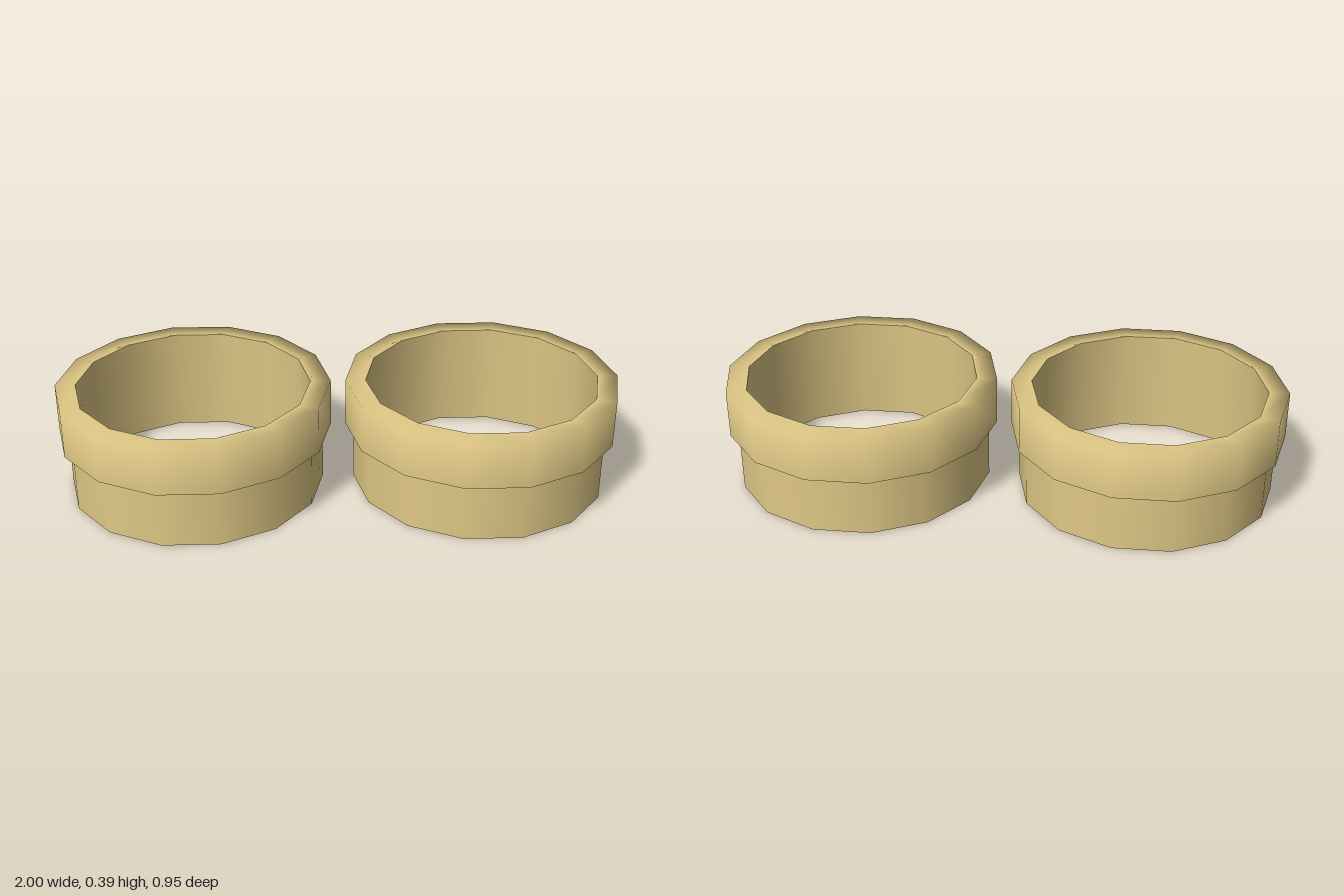
import * as THREE from 'three';

const SIDES = 14;
const OUTER = 0.487;   // rim radius
const WALL = 0.457;    // lower sleeve radius
const INNER_TOP = 0.415;
const INNER_BOTTOM = 0.432;
const HEIGHT = 0.388;
const STEP = 0.217;    // height where the rim begins

export function createModel() {
  const group = new THREE.Group();
  const material = new THREE.MeshStandardMaterial({ color: 0xe0c986 });

  // Each profile is smooth within itself; separate profiles meet at sharp edges
  const profiles = {
    sleeve: [[WALL, 0], [WALL, STEP]],
    rimUnderside: [[WALL, STEP], [OUTER, STEP]],
    rim: [[OUTER, STEP], [OUTER, HEIGHT], [INNER_TOP, HEIGHT]],
    innerWall: [[INNER_TOP, HEIGHT], [INNER_BOTTOM, 0]],
    bottomEdge: [[INNER_BOTTOM, 0], [WALL, 0]],
  };

  // Two identical stepped rings side by side
  for (const [name, x] of [['leftRing', 0.513], ['rightRing', -0.513]]) {
    const ring = new THREE.Group();
    ring.name = name;
    ring.position.x = x;
    for (const [part, points] of Object.entries(profiles)) {
      const outline = points.map(([r, y]) => new THREE.Vector2(r, y));
      const mesh = new THREE.Mesh(new THREE.LatheGeometry(outline, SIDES, Math.PI / 2), material);
      mesh.name = part;
      ring.add(mesh);
    }
    group.add(ring);
  }
  return group;
}
